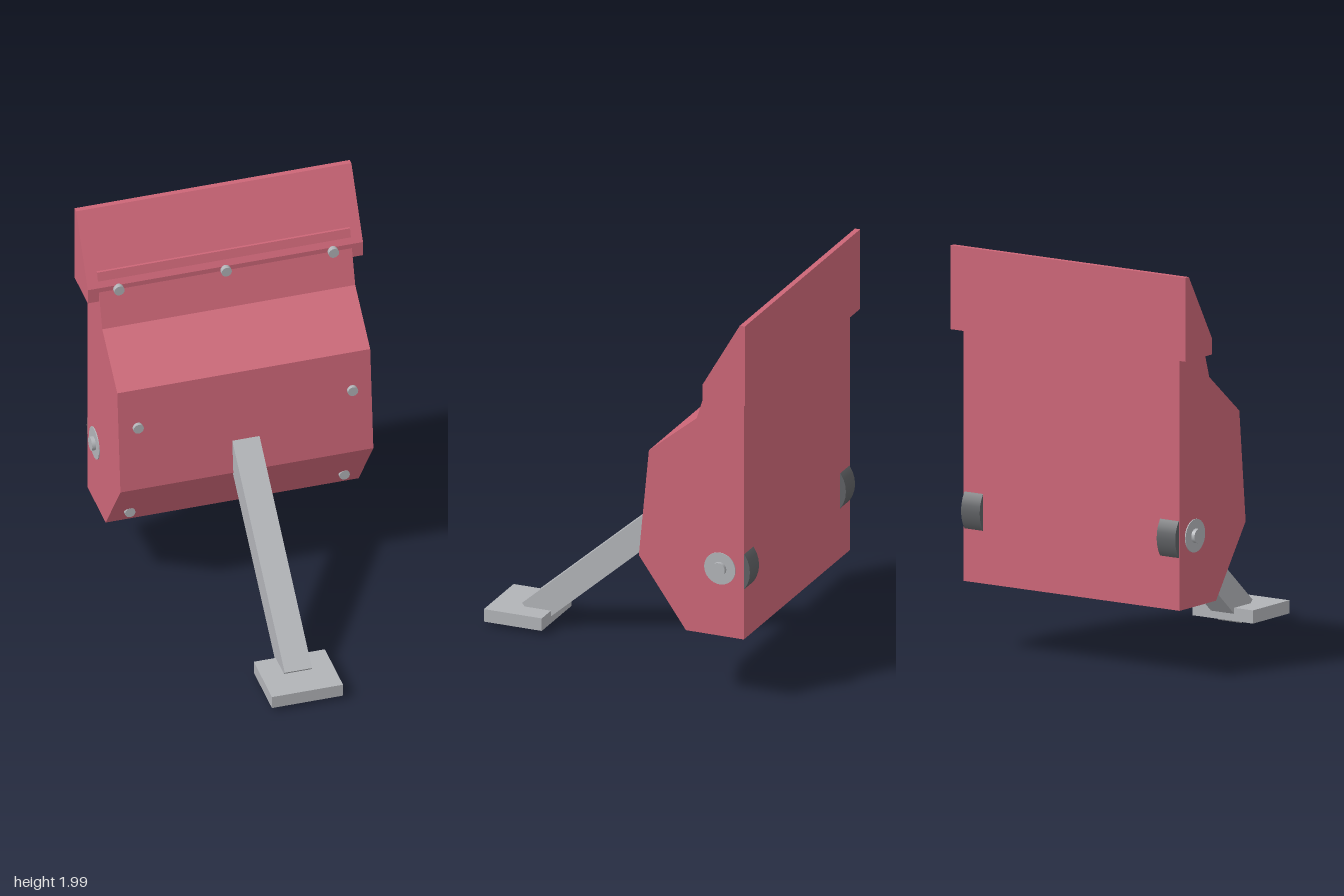
import * as THREE from 'three';

const red = new THREE.MeshStandardMaterial({ color: 0xcc6677 });
red.name = 'rose paint';
const metal = new THREE.MeshStandardMaterial({ color: 0xb1b3b7 });
metal.name = 'light metal';
const rubber = new THREE.MeshStandardMaterial({ color: 0x5e6063 });
rubber.name = 'dark rubber';

export function createModel() {
  const model = new THREE.Group();
  model.name = 'wheeledCase';

  const add = (name, geometry, material, x = 0, y = 0, z = 0) => {
    const mesh = new THREE.Mesh(geometry, material);
    mesh.name = name;
    mesh.position.set(x, y, z);
    model.add(mesh);
    return mesh;
  };

  // Side profile of [z, y] points swept across the width
  const sweep = (points, width) => {
    const shape = new THREE.Shape(points.map(([z, y]) => new THREE.Vector2(-z, y)));
    return new THREE.ExtrudeGeometry(shape, { depth: width, bevelEnabled: false })
      .translate(0, 0, -width / 2)
      .rotateY(Math.PI / 2);
  };

  // Main housing
  add('housing', sweep([
    [-0.77, 0.35], [-0.465, 0.35], [-0.217, 0.7], [-0.27, 1.253],
    [-0.522, 1.46], [-0.608, 1.737], [-0.77, 1.737],
  ], 1.274), red);

  // Overhanging hood
  add('hood', sweep([
    [-0.8, 1.587], [-0.578, 1.587], [-0.578, 1.665], [-0.773, 2], [-0.8, 2],
  ], 1.386), red);

  // Bolts on the front faces
  const boltGeometry = new THREE.CylinderGeometry(0.026, 0.026, 0.03, 16).rotateX(Math.PI / 2);
  for (const [y, z, xs] of [
    [1.645, -0.57, [-0.54, 0, 0.54]],
    [1.045, -0.248, [-0.54, 0.54]],
    [0.45, -0.39, [-0.54, 0.54]],
  ]) {
    for (const x of xs) add('bolt', boltGeometry, metal, x, y, z);
  }

  // Wheels showing through the back, with hub discs and axle ends
  const disc = (radius, width) =>
    new THREE.CylinderGeometry(radius, radius, width, 32).rotateZ(Math.PI / 2);
  for (const side of [-1, 1]) {
    add('wheel', disc(0.155, 0.11), rubber, side * 0.577, 0.7, -0.645);
    add('hubDisc', disc(0.082, 0.03), metal, side * 0.627, 0.7, -0.645);
    add('axleEnd', disc(0.035, 0.06), metal, side * 0.631, 0.7, -0.645);
  }

  // Slanted leg running into the housing
  const legGeometry = new THREE.BoxGeometry(0.137, 0.135, 1.25).translate(0, 0, -0.625);
  const leg = add('leg', legGeometry, metal, 0, 0.056, 0.603);
  leg.rotation.x = THREE.MathUtils.degToRad(41.2);

  // Flat foot plate
  add('foot', new THREE.BoxGeometry(0.358, 0.065, 0.305), metal, 0, 0.058, 0.6475);

  return model;
}
